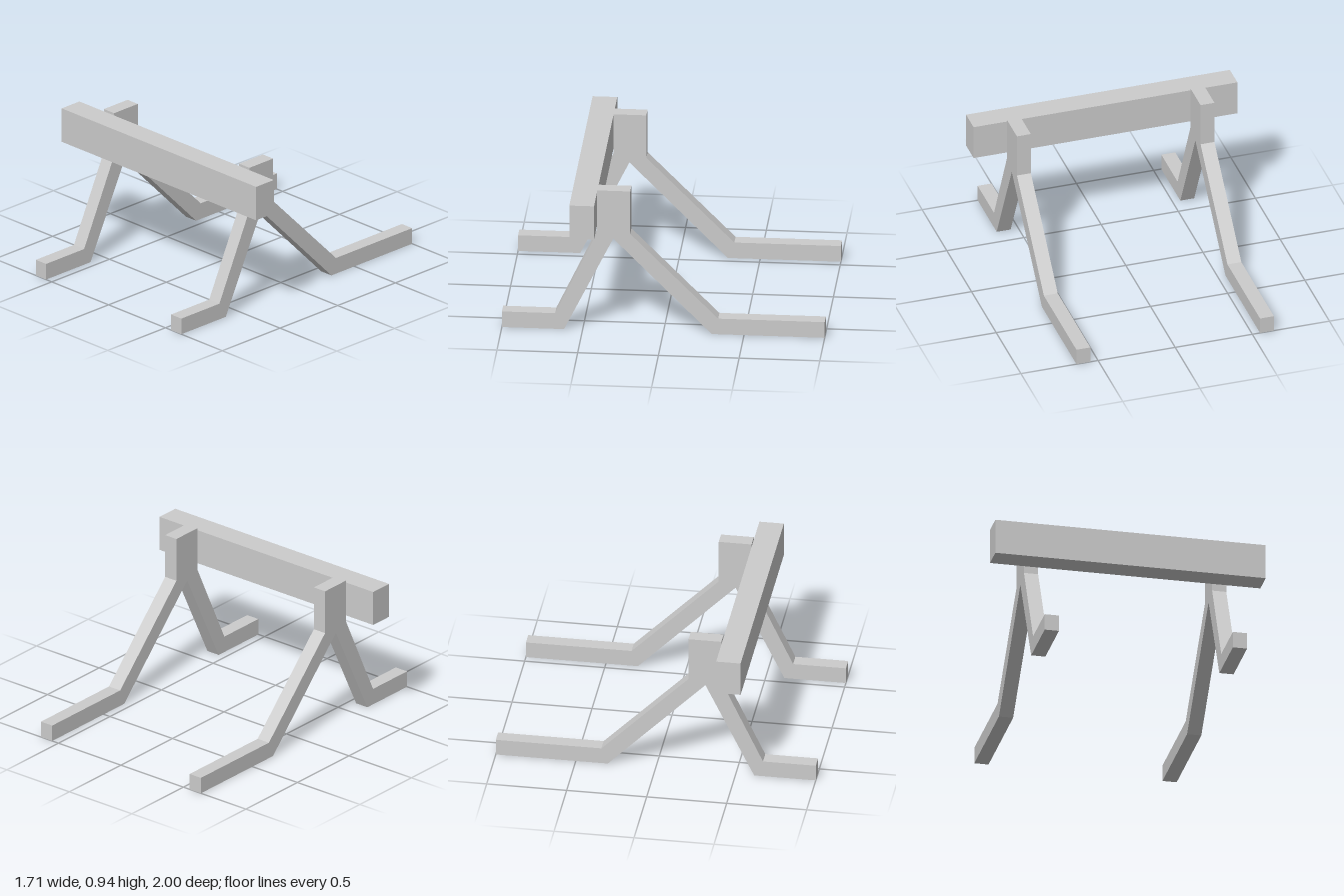
import * as THREE from 'three';

export function createModel() {
  const group = new THREE.Group();
  group.name = 'barrier';
  const material = new THREE.MeshStandardMaterial({ color: 0xcccccc, flatShading: true });

  // Side outline of one stand as [z, y]: front foot, front leg, post, rear leg, rear foot
  const outline = [
    [1, 0], [1, 0.105], [0.67, 0.105], [0.41, 0.655], [0.41, 0.94],
    [0.205, 0.94], [0.205, 0.655], [-0.34, 0.105], [-1, 0.105], [-1, 0],
    [-0.3, 0], [0.31, 0.62], [0.615, 0],
  ];
  const shape = new THREE.Shape(outline.map(([z, y]) => new THREE.Vector2(-z, y)));
  const thickness = 0.09;
  const standGeometry = new THREE.ExtrudeGeometry(shape, { depth: thickness, bevelEnabled: false });
  standGeometry.translate(0, 0, -thickness / 2);
  standGeometry.rotateY(Math.PI / 2);

  // Matching stands on both sides
  for (const [name, side] of [['leftStand', 1], ['rightStand', -1]]) {
    const stand = new THREE.Mesh(standGeometry, material);
    stand.name = name;
    stand.position.x = side * 0.595;
    group.add(stand);
  }

  // Crossbeam fixed to the front of the posts
  const beam = new THREE.Mesh(new THREE.BoxGeometry(1.71, 0.225, 0.153), material);
  beam.name = 'crossbeam';
  beam.position.set(0, 0.8125, 0.4875);
  group.add(beam);

  return group;
}
